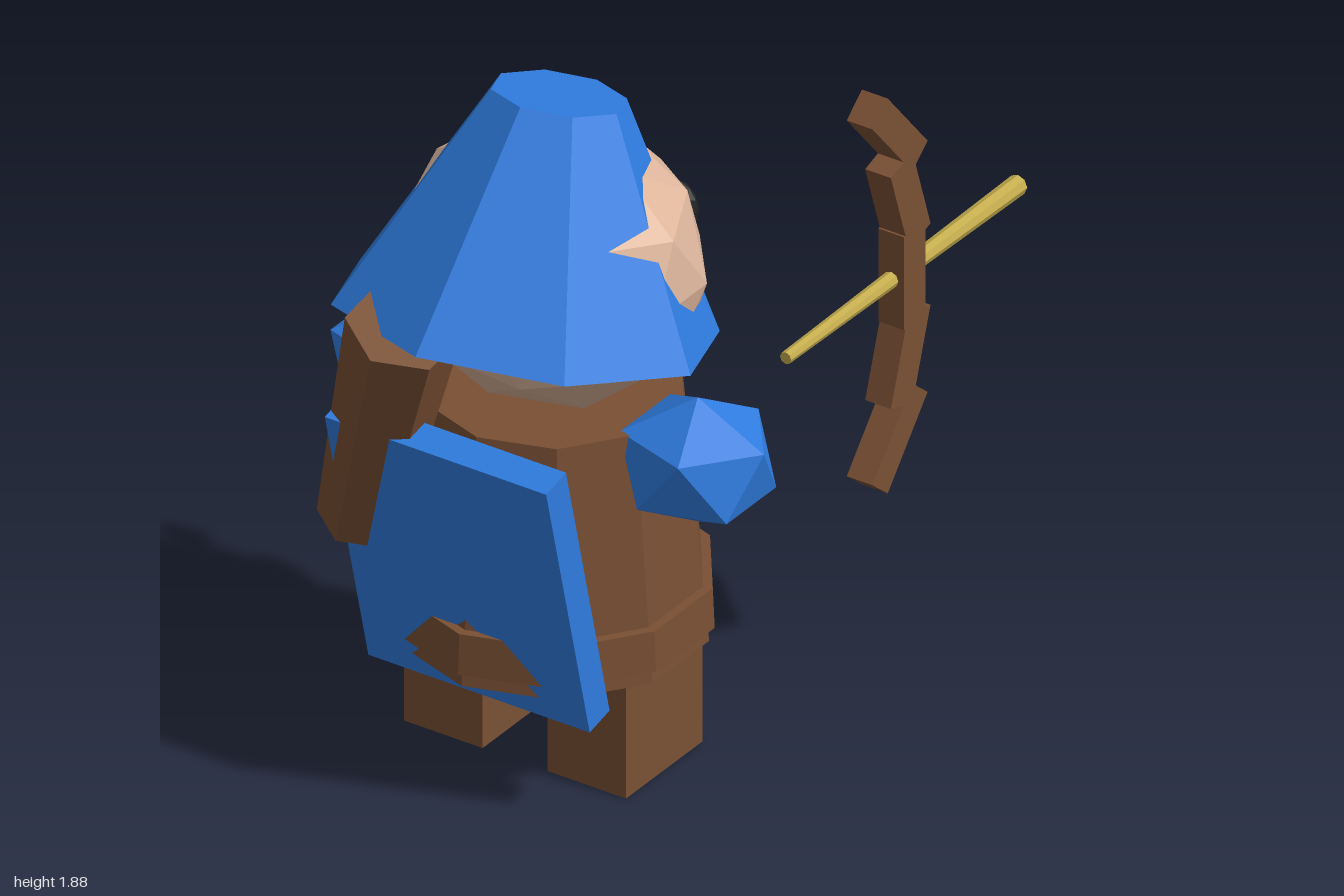
import * as THREE from 'three';

export function createModel() {
  const model = new THREE.Group();

  const mat = (name, color) => {
    const m = new THREE.MeshStandardMaterial({ color, flatShading: true });
    m.name = name;
    return m;
  };
  const blue = mat('blue cloth', 0x2f7ce0);
  const brown = mat('brown leather', 0x7a5034);
  const skin = mat('skin', 0xddb59b);
  const black = mat('eye black', 0x222222);
  const gold = mat('arrow straw', 0xc4ac4c);

  const add = (name, geometry, material, pos, rot = [0, 0, 0]) => {
    const mesh = new THREE.Mesh(geometry, material);
    mesh.name = name;
    mesh.position.set(...pos);
    mesh.rotation.set(...rot);
    model.add(mesh);
    return mesh;
  };

  // Icosphere with its poles on y and an upper ring corner on +x
  const ball = (rx, ry, rz, detail) =>
    new THREE.IcosahedronGeometry(1, detail)
      .rotateX(-Math.atan((1 + Math.sqrt(5)) / 2))
      .rotateY(Math.PI / 2)
      .scale(rx, ry, rz);

  // Tunic and belt
  add('tunic', new THREE.CylinderGeometry(0.338, 0.405, 0.69, 10), brown, [0, 0.675, 0.36]);
  add('belt', new THREE.CylinderGeometry(0.415, 0.42, 0.115, 10), brown, [0, 0.428, 0.36]);

  // Legs, arms and eyes on both sides
  for (const [side, s] of [['left', 1], ['right', -1]]) {
    add(side + 'Leg', new THREE.BoxGeometry(0.238, 0.36, 0.338), brown, [s * 0.217, 0.18, 0.36]);
    add(side + 'Arm', ball(0.224, 0.18, 0.209, 0), blue, [s * 0.437, 0.937, 0.36]);
    add(side + 'Eye', ball(0.055, 0.075, 0.031, 1), black, [s * 0.133, 1.39, -0.003]);
  }

  // Head and sloping hat
  add('head', ball(0.41, 0.38, 0.37, 1), skin, [0, 1.378, 0.365]);
  add('hat', new THREE.CylinderGeometry(0.175, 0.5, 0.597, 8), blue, [0, 1.551, 0.41], [-0.25, 0, 0]);

  // Cape and quiver on the back
  add('cape', new THREE.BoxGeometry(0.67, 0.809, 0.09), blue, [0, 0.673, 0.74], [0.24, 0, 0]);
  add('quiver', new THREE.CylinderGeometry(0.149, 0.109, 0.735, 6), brown,
    [-0.229, 1.031, 0.783], [0.187, 0, -0.307]);

  // Bow: a straight grip with two bent pieces above and below
  const bowX = 0.473, bowY = 1.078;
  add('bowGrip', new THREE.BoxGeometry(0.078, 0.27, 0.095), brown, [bowX, bowY, -0.488]);
  for (const [end, s] of [['upper', 1], ['lower', -1]]) {
    add(end + 'BowLimb', new THREE.BoxGeometry(0.078, 0.26, 0.1), brown,
      [bowX, bowY + s * 0.227, -0.47], [s * 0.31, 0, 0]);
    add(end + 'BowTip', new THREE.BoxGeometry(0.078, 0.273, 0.088), brown,
      [bowX, bowY + s * 0.441, -0.423], [s * 0.7, 0, 0]);
  }

  // Arrow, thicker at its far end
  add('arrow', new THREE.CylinderGeometry(0.017, 0.028, 1.025, 8), gold,
    [bowX, bowY, -0.4875], [Math.PI / 2, 0, 0]);

  return model;
}
